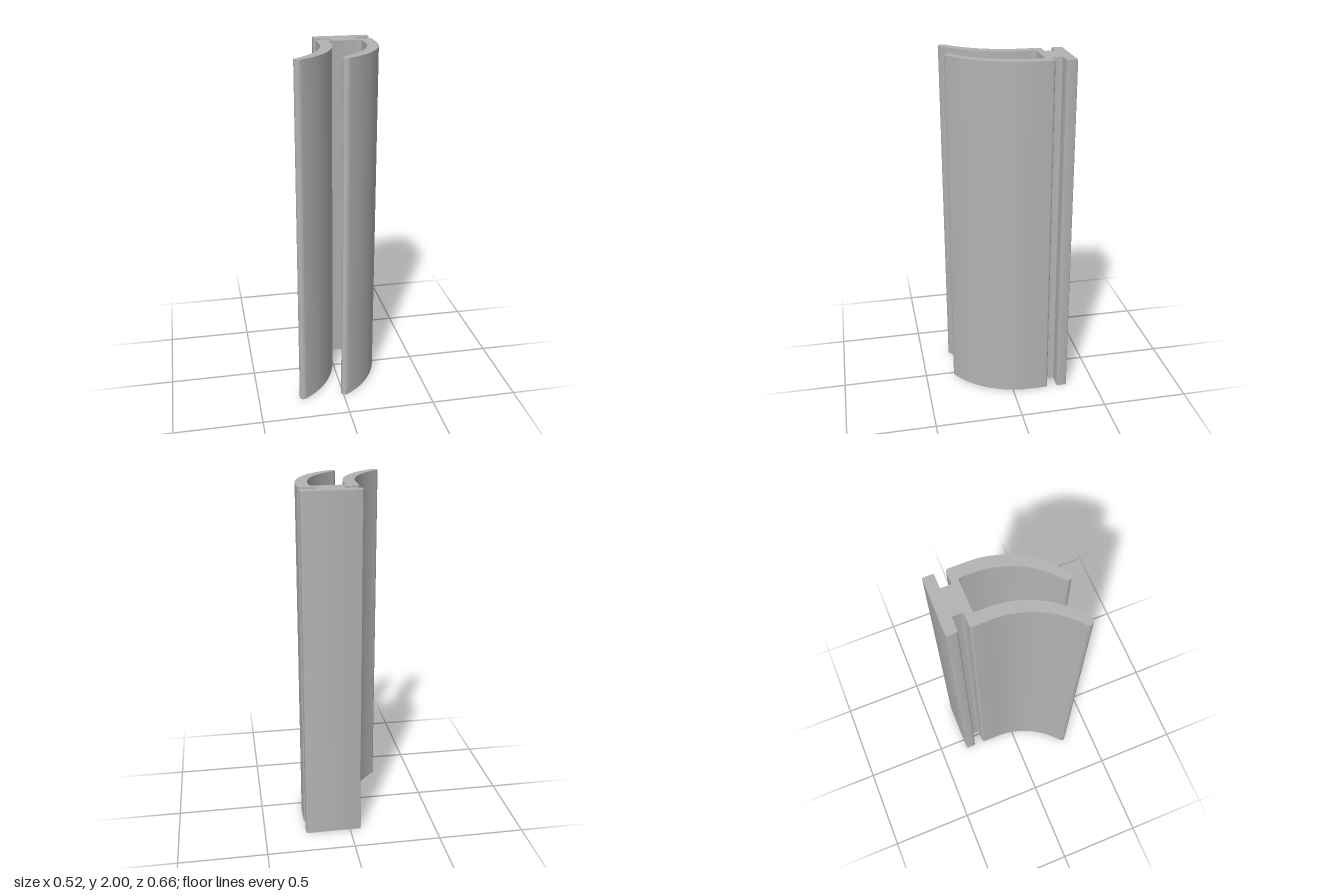
import * as THREE from 'three';
import { toCreasedNormals } from 'three/addons/utils/BufferGeometryUtils.js';

const HEIGHT = 2;
const BEND = 0.1; // where the straight legs start to curve (shape y = -z)

// Line through axis-aligned corners [x, y, radius], each one rounded.
function roundedCorners(shape, corners, start, end) {
  const pts = [start, ...corners, end];
  for (let i = 1; i < pts.length - 1; i++) {
    const [x, y, r] = pts[i];
    const toward = ([px, py]) => {
      const d = Math.hypot(px - x, py - y);
      return [x + (px - x) * r / d, y + (py - y) * r / d];
    };
    shape.lineTo(...toward(pts[i - 1]));
    shape.quadraticCurveTo(x, y, ...toward(pts[i + 1]));
  }
  shape.lineTo(end[0], end[1]);
}

// Curved leg: down its left edge, round the tip, up its right edge.
function leg(shape, xLeft, xRight, tipA, tipB) {
  const edge = (x, [tx, ty]) => {
    const dx = x - tx, dy = BEND - ty;
    const R = (dx * dx + dy * dy) / (2 * dx);
    return { cx: x - R, R, a: -Math.asin(dy / R) };
  };
  const l = edge(xLeft, tipA), r = edge(xRight, tipB);
  shape.absarc(l.cx, BEND, l.R, 0, l.a, true);
  const dx = tipA[0] - tipB[0], dy = tipA[1] - tipB[1];
  const a = Math.atan2(dy, dx);
  shape.absarc((tipA[0] + tipB[0]) / 2, (tipA[1] + tipB[1]) / 2,
    Math.hypot(dx, dy) / 2, a, a + Math.PI, false);
  shape.absarc(r.cx, BEND, r.R, r.a, 0, false);
}

export function createModel() {
  const grey = new THREE.MeshStandardMaterial({ color: 0xb3b3b3 });
  grey.name = 'grey';

  const L = -0.062, R = 0.261, neckL = 0.021, neckR = 0.178;
  const inL = 0.004, inR = 0.195;
  const top = 0.331, under = 0.27, shoulder = 0.213, channel = 0.173;

  const profile = new THREE.Shape();
  profile.moveTo(0.1, top);
  // back plate, neck slot and shoulder on the right-hand side
  roundedCorners(profile, [
    [L, top, 0.01], [L, under, 0.01], [neckL, under, 0.009],
    [neckL, shoulder, 0.009], [L, shoulder, 0.016],
  ], [0.1, top], [L, BEND]);
  leg(profile, L, inL, [-0.25, -0.286], [-0.226, -0.325]);
  // channel between the legs
  roundedCorners(profile, [[inL, channel, 0.016], [inR, channel, 0.016]],
    [inL, BEND], [inR, BEND]);
  leg(profile, inR, R, [0, -0.286], [0.024, -0.325]);
  // shoulder, neck slot and back plate on the left-hand side
  roundedCorners(profile, [
    [R, shoulder, 0.016], [neckR, shoulder, 0.009], [neckR, under, 0.009],
    [R, under, 0.01], [R, top, 0.01],
  ], [R, BEND], [0.1, top]);

  const extruded = new THREE.ExtrudeGeometry(profile, {
    depth: HEIGHT, bevelEnabled: false, curveSegments: 16,
  });
  extruded.rotateX(-Math.PI / 2);

  const strip = new THREE.Mesh(toCreasedNormals(extruded, 0.5), grey);
  strip.name = 'extrudedStrip';
  const group = new THREE.Group();
  group.name = 'sealingProfile';
  group.add(strip);
  return group;
}
